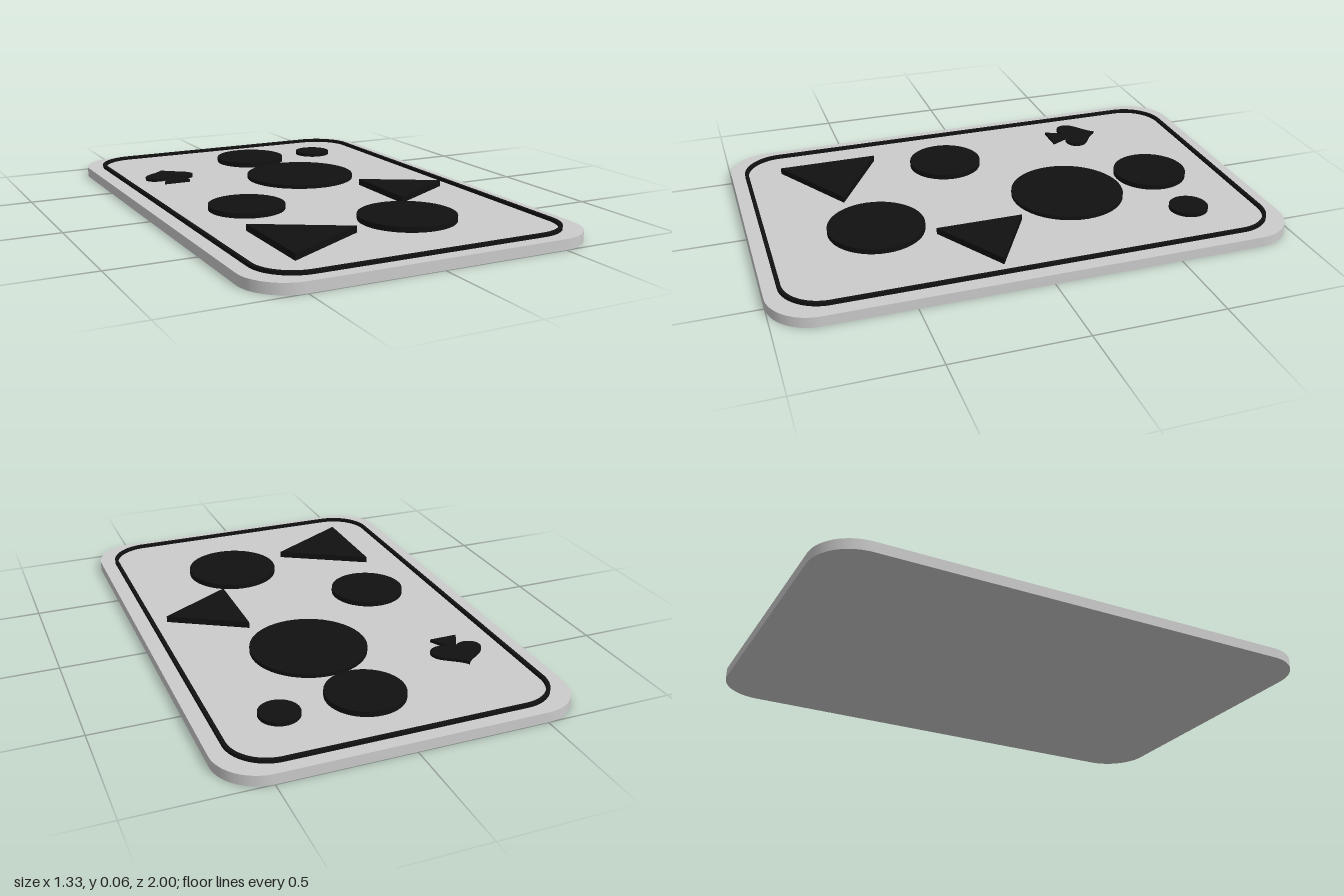
import * as THREE from 'three';
import { toCreasedNormals } from 'three/addons/utils/BufferGeometryUtils.js';

const CARD_TOP = 0.04;

// Rounded rectangle centred on the origin
function roundedRect(w, d, r, Type = THREE.Shape) {
  const x = w / 2 - r, y = d / 2 - r, q = Math.PI / 2;
  const s = new Type();
  s.absarc(x, y, r, 0, q);
  s.absarc(-x, y, r, q, 2 * q);
  s.absarc(-x, -y, r, 2 * q, 3 * q);
  s.absarc(x, -y, r, 3 * q, 4 * q);
  s.closePath();
  return s;
}

export function createModel() {
  const group = new THREE.Group();
  const grey = new THREE.MeshStandardMaterial({ color: 0xcccccc });
  const black = new THREE.MeshStandardMaterial({ color: 0x111111 });

  // Lays a flat outline down on the card and gives it thickness upwards
  function addPlate(name, shape, bottom, top, material, x = 0, z = 0) {
    const extruded = new THREE.ExtrudeGeometry(shape, {
      depth: top - bottom, bevelEnabled: false, curveSegments: 16,
    });
    extruded.rotateX(-Math.PI / 2);
    const mesh = new THREE.Mesh(toCreasedNormals(extruded, 0.6), material);
    mesh.name = name;
    mesh.position.set(x, bottom, z);
    group.add(mesh);
  }

  // Card body
  addPlate('cardBody', roundedRect(1.333, 2, 0.17), 0, CARD_TOP, grey);

  // Thin raised frame line
  const frame = roundedRect(1.218, 1.895, 0.16);
  frame.holes.push(roundedRect(1.19, 1.867, 0.146, THREE.Path));
  addPlate('frameLine', frame, CARD_TOP, 0.053, black);

  // Round pips: x, z, radius, top height
  const discs = [
    [0.04, -0.662, 0.148, 0.061],
    [0.367, -0.675, 0.076, 0.055],
    [0.1, -0.268, 0.225, 0.055],
    [-0.32, 0.123, 0.148, 0.06],
    [0.147, 0.528, 0.186, 0.061],
  ];
  discs.forEach(([x, z, r, top], i) => {
    const h = top - CARD_TOP;
    const disc = new THREE.Mesh(new THREE.CylinderGeometry(r, r, h, 48), black);
    disc.name = `roundPip${i + 1}`;
    disc.position.set(x, CARD_TOP + h / 2, z);
    group.add(disc);
  });

  // Triangular pips pointing to +x: base x, centre z, length, half width
  const triangles = [
    [0.253, 0.15, 0.29, 0.17],
    [-0.446, 0.602, 0.34, 0.198],
  ];
  triangles.forEach(([x, z, length, half], i) => {
    const shape = new THREE.Shape([
      new THREE.Vector2(0, -half),
      new THREE.Vector2(length, 0),
      new THREE.Vector2(0, half),
    ]);
    addPlate(`trianglePip${i + 1}`, shape, CARD_TOP, 0.065, black, x, z);
  });

  // Spade: pointed leaf with two lobes and a flared stem
  const spade = new THREE.Shape();
  spade.moveTo(0, 0.105);
  spade.bezierCurveTo(-0.025, 0.06, -0.103, 0.045, -0.103, -0.005);
  spade.bezierCurveTo(-0.103, -0.05, -0.04, -0.06, -0.017, -0.032);
  spade.lineTo(-0.055, -0.107);
  spade.lineTo(0.055, -0.107);
  spade.lineTo(0.017, -0.032);
  spade.bezierCurveTo(0.04, -0.06, 0.103, -0.05, 0.103, -0.005);
  spade.bezierCurveTo(0.103, 0.045, 0.025, 0.06, 0, 0.105);
  addPlate('spadePip', spade, CARD_TOP, 0.052, black, -0.412, -0.497);

  return group;
}
